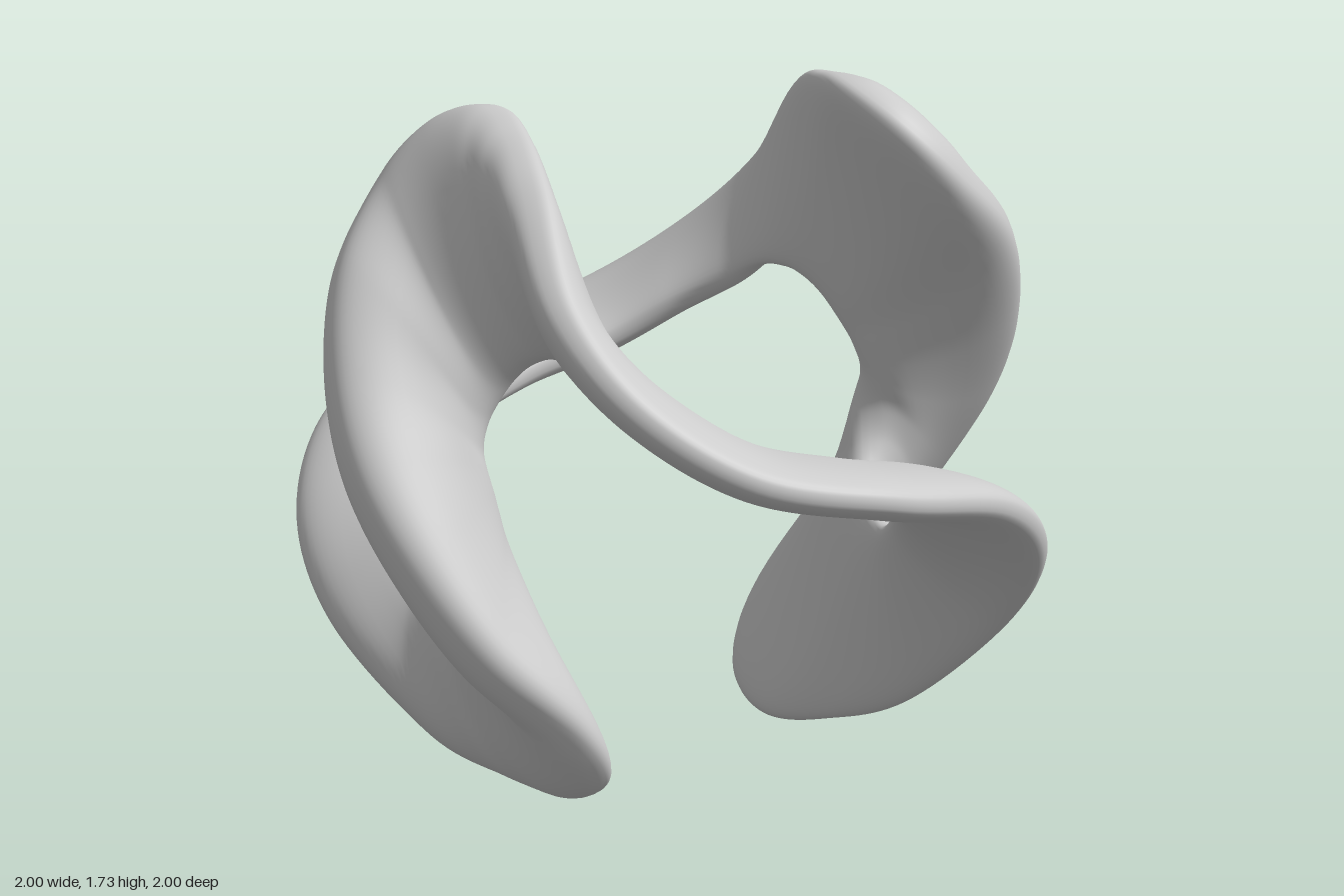
import * as THREE from 'three';

// A closed twisted ribbon: one wavy outer edge on a sphere, one calmer inner edge,
// joined by rounded, blunt-edged cross-sections.

// One quarter of each edge, from the right side (+x) over the upper lobe to the front (+z).
const outerQuarter = [
  [1, 0, 0], [0.91, 0.09, 0.39], [0.72, 0.28, 0.64], [0.48, 0.51, 0.71],
  [0.2, 0.76, 0.6], [-0.01, 0.84, 0.5], [-0.19, 0.86, 0.44], [-0.35, 0.79, 0.48],
  [-0.41, 0.65, 0.61], [-0.32, 0.46, 0.82], [-0.17, 0.23, 0.95], [0, 0, 1],
];
const innerQuarter = [
  [0.6, 0, 0], [0.56, 0.06, 0.2], [0.47, 0.15, 0.34], [0.36, 0.22, 0.43],
  [0.27, 0.28, 0.48], [0.21, 0.29, 0.51], [0.16, 0.28, 0.53], [0.11, 0.25, 0.55],
  [0.07, 0.2, 0.57], [0.04, 0.13, 0.59], [0.02, 0.06, 0.6], [0, 0, 0.6],
];

// Half turns about z and then y complete the loop.
function closedEdge(quarter) {
  const q = quarter.map((p) => new THREE.Vector3(...p));
  const second = q.slice(0, -1).reverse().map((p) => new THREE.Vector3(-p.x, -p.y, p.z));
  const half = [...q, ...second].slice(0, -1);
  const rest = half.map((p) => new THREE.Vector3(-p.x, p.y, -p.z));
  return new THREE.CatmullRomCurve3([...half, ...rest], true, 'catmullrom', 0.5);
}

const signedPow = (x, e) => Math.sign(x) * Math.abs(x) ** e;

function ribbonGeometry(along, around) {
  const outer = closedEdge(outerQuarter);
  const inner = closedEdge(innerQuarter);
  const positions = [];
  const index = [];
  const step = 0.006;
  const slope = (c, t) => c.getPoint((t + step) % 1).sub(c.getPoint((t - step + 1) % 1));

  for (let i = 0; i < along; i++) {
    const t = i / along;
    const a = inner.getPoint(t);
    const b = outer.getPoint(t);
    const across = b.clone().sub(a);
    const da = slope(inner, t);
    const db = slope(outer, t);
    // Lobes bow outward; the front and back struts are thicker.
    const lobe = Math.sin(t * Math.PI * 4) ** 2;
    const strut = Math.sin(t * Math.PI * 2) ** 2;
    const half = 0.065 + 0.045 * strut;

    for (let j = 0; j < around; j++) {
      const phi = (j / around) * Math.PI * 2;
      const v = (1 + signedPow(Math.cos(phi), 0.85)) / 2;
      const p = a.clone().addScaledVector(across, v);
      const normal = da.clone().lerp(db, v).cross(across).normalize();
      p.addScaledVector(p.clone().normalize(), 0.09 * lobe * 4 * v * (1 - v));
      p.addScaledVector(normal, half * signedPow(Math.sin(phi), 0.8));
      positions.push(p.x, p.y, p.z);

      const i2 = (i + 1) % along;
      const j2 = (j + 1) % around;
      const k = [i * around + j, i * around + j2, i2 * around + j2, i2 * around + j];
      index.push(k[0], k[1], k[2], k[0], k[2], k[3]);
    }
  }

  const geometry = new THREE.BufferGeometry();
  geometry.setAttribute('position', new THREE.Float32BufferAttribute(positions, 3));
  geometry.setIndex(index);
  geometry.computeVertexNormals();
  return geometry;
}

export function createModel() {
  const group = new THREE.Group();
  group.name = 'twistedRingSculpture';
  const material = new THREE.MeshStandardMaterial({ color: 0xcccccc });
  const ribbon = new THREE.Mesh(ribbonGeometry(480, 48), material);
  ribbon.name = 'twistedRibbon';

  // Rest on the ground.
  ribbon.position.y = -new THREE.Box3().setFromObject(ribbon).min.y;
  group.add(ribbon);
  return group;
}
